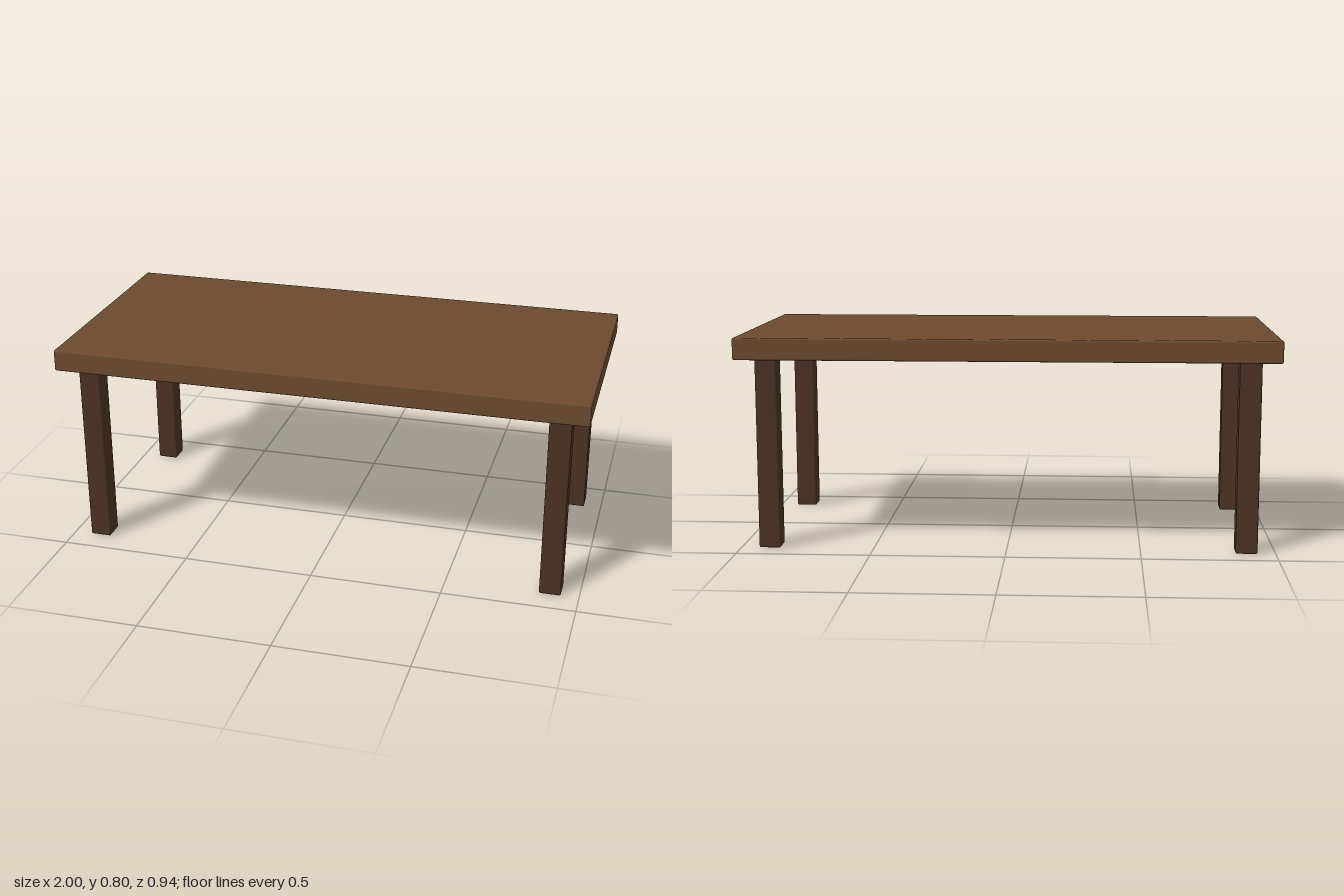
import * as THREE from 'three';
import { RoundedBoxGeometry } from 'three/addons/geometries/RoundedBoxGeometry.js';

const BEVEL = 0.007;

export function createModel() {
  const table = new THREE.Group();
  table.name = 'table';

  const topWood = new THREE.MeshStandardMaterial({ color: 0x6b4a2f });
  const legWood = new THREE.MeshStandardMaterial({ color: 0x4a3222 });

  // Softly bevelled block standing on the given height
  function block(name, width, height, depth, x, y, z, material) {
    const mesh = new THREE.Mesh(new RoundedBoxGeometry(width, height, depth, 2, BEVEL), material);
    mesh.name = name;
    mesh.position.set(x, y + height / 2, z);
    table.add(mesh);
  }

  // Slab top
  block('tabletop', 2, 0.082, 0.942, 0, 0.718, 0, topWood);

  // Four square legs, inset from the corners
  for (const [side, sx] of [['Left', 1], ['Right', -1]]) {
    for (const [end, sz] of [['front', 1], ['back', -1]]) {
      block(`${end}${side}Leg`, 0.081, 0.718, 0.081, sx * 0.892, 0, sz * 0.368, legWood);
    }
  }

  return table;
}
